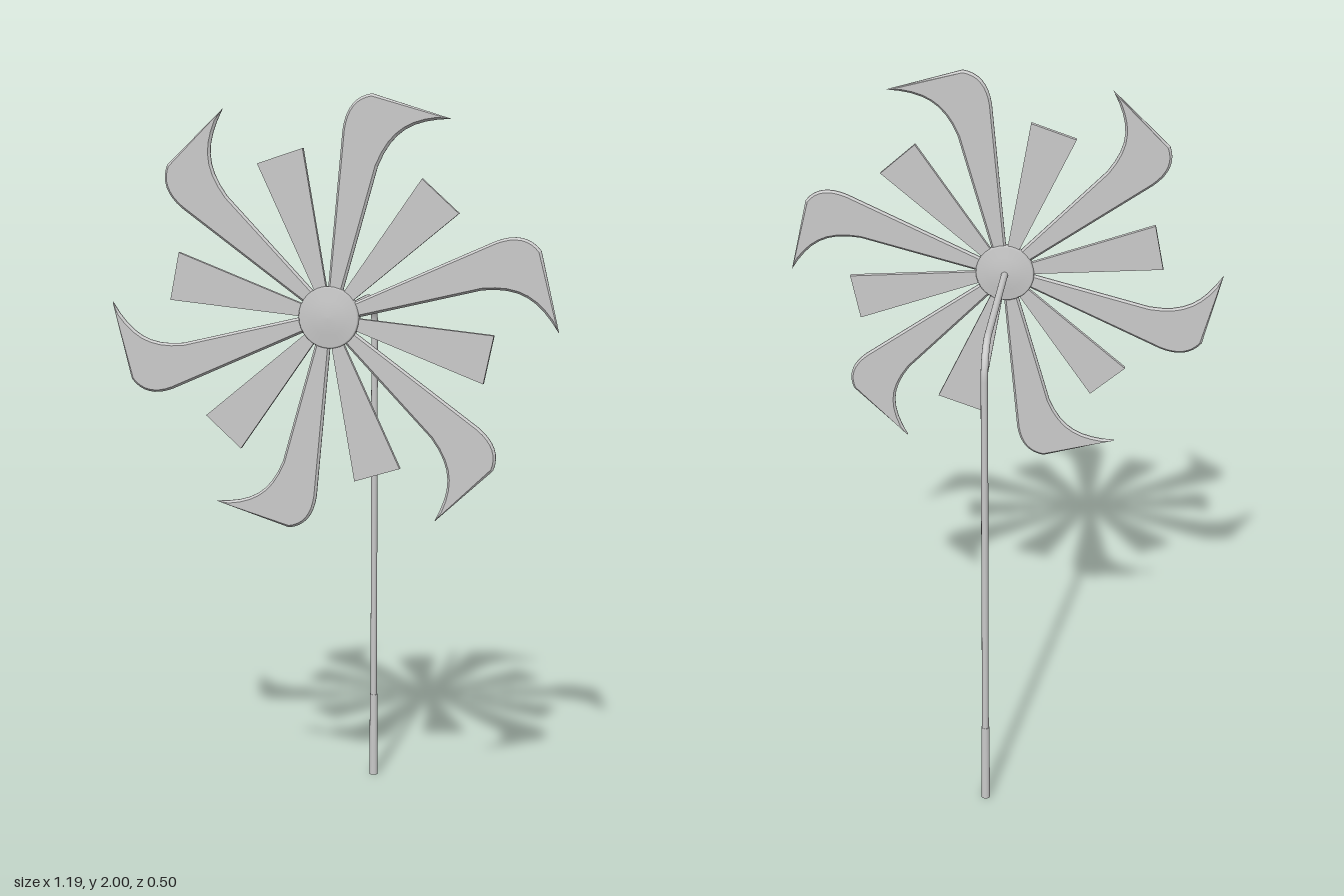
import * as THREE from 'three';

const CENTER_Y = 1.436, CENTER_Z = 0.236;
const material = new THREE.MeshStandardMaterial({ color: 0xcccccc, side: THREE.DoubleSide });

function addMesh(parent, geometry, name) {
  const mesh = new THREE.Mesh(geometry, material);
  mesh.name = name;
  parent.add(mesh);
  return mesh;
}

// Hooked blade, pointing up from the hub
function hookedBladeGeometry() {
  const s = new THREE.Shape();
  s.moveTo(-0.004, 0.06);
  s.lineTo(0.036, 0.475);
  s.quadraticCurveTo(0.048, 0.555, 0.112, 0.564);
  s.lineTo(0.313, 0.504);
  s.bezierCurveTo(0.215, 0.5, 0.165, 0.475, 0.127, 0.385);
  s.lineTo(0.034, 0.06);
  s.closePath();
  const geometry = new THREE.ExtrudeGeometry(s, {
    depth: 0.003, bevelThickness: 0.005, bevelSize: 0.006, bevelOffset: -0.006,
    bevelSegments: 1, curveSegments: 8,
  });
  return geometry.translate(0, 0, -0.0015);
}

// Plain tapered vane, pointing along +x
function vaneGeometry() {
  const s = new THREE.Shape();
  s.moveTo(0.06, -0.014);
  s.lineTo(0.428, -0.064);
  s.lineTo(0.426, 0.063);
  s.lineTo(0.06, 0.014);
  s.closePath();
  const geometry = new THREE.ExtrudeGeometry(s, { depth: 0.012, bevelEnabled: false });
  return geometry.translate(0, 0, -0.006);
}

// Round hub with a raised boss on both faces
function hubGeometry() {
  const half = [[0.08, 0.008], [0.076, 0.012], [0.046, 0.012], [0.042, 0.016], [0, 0.017]];
  const profile = [
    ...half.slice().reverse().map(([r, h]) => new THREE.Vector2(r, -h)),
    ...half.map(([r, h]) => new THREE.Vector2(r, h)),
  ];
  return new THREE.LatheGeometry(profile, 32).rotateX(Math.PI / 2);
}

export function createModel() {
  const model = new THREE.Group();
  model.name = 'pinwheel';

  // Wheel: hub with alternating hooked blades and plain vanes
  const wheel = new THREE.Group();
  wheel.name = 'wheel';
  wheel.position.set(0, CENTER_Y, CENTER_Z);
  model.add(wheel);
  addMesh(wheel, hubGeometry(), 'hub');
  const blade = hookedBladeGeometry(), vane = vaneGeometry();
  for (let i = 0; i < 6; i++) {
    const turn = i * Math.PI / 3;
    addMesh(wheel, blade, 'hookedBlade').rotation.z = turn;
    addMesh(wheel, vane, 'plainVane').rotation.z = turn + THREE.MathUtils.degToRad(47.5);
  }

  // Stem: upright rod, rounded bend, then a horizontal axle into the hub
  const v = (y, z) => new THREE.Vector3(0, y, z);
  const y = CENTER_Y - 0.002, z = -0.241, r = 0.085, k = r * 0.448;
  const path = new THREE.CurvePath();
  path.add(new THREE.LineCurve3(v(0, z), v(y - r, z)));
  path.add(new THREE.CubicBezierCurve3(v(y - r, z), v(y - k, z), v(y, z + k), v(y, z + r)));
  path.add(new THREE.LineCurve3(v(y, z + r), v(y, CENTER_Z)));
  addMesh(model, new THREE.TubeGeometry(path, 120, 0.0095, 12), 'stem');

  // Slightly thicker foot of the stem
  const foot = addMesh(model, new THREE.CylinderGeometry(0.0115, 0.0125, 0.25, 12), 'foot');
  foot.position.set(0, 0.125, z);
  foot.scale.z = 0.88;

  return model;
}
